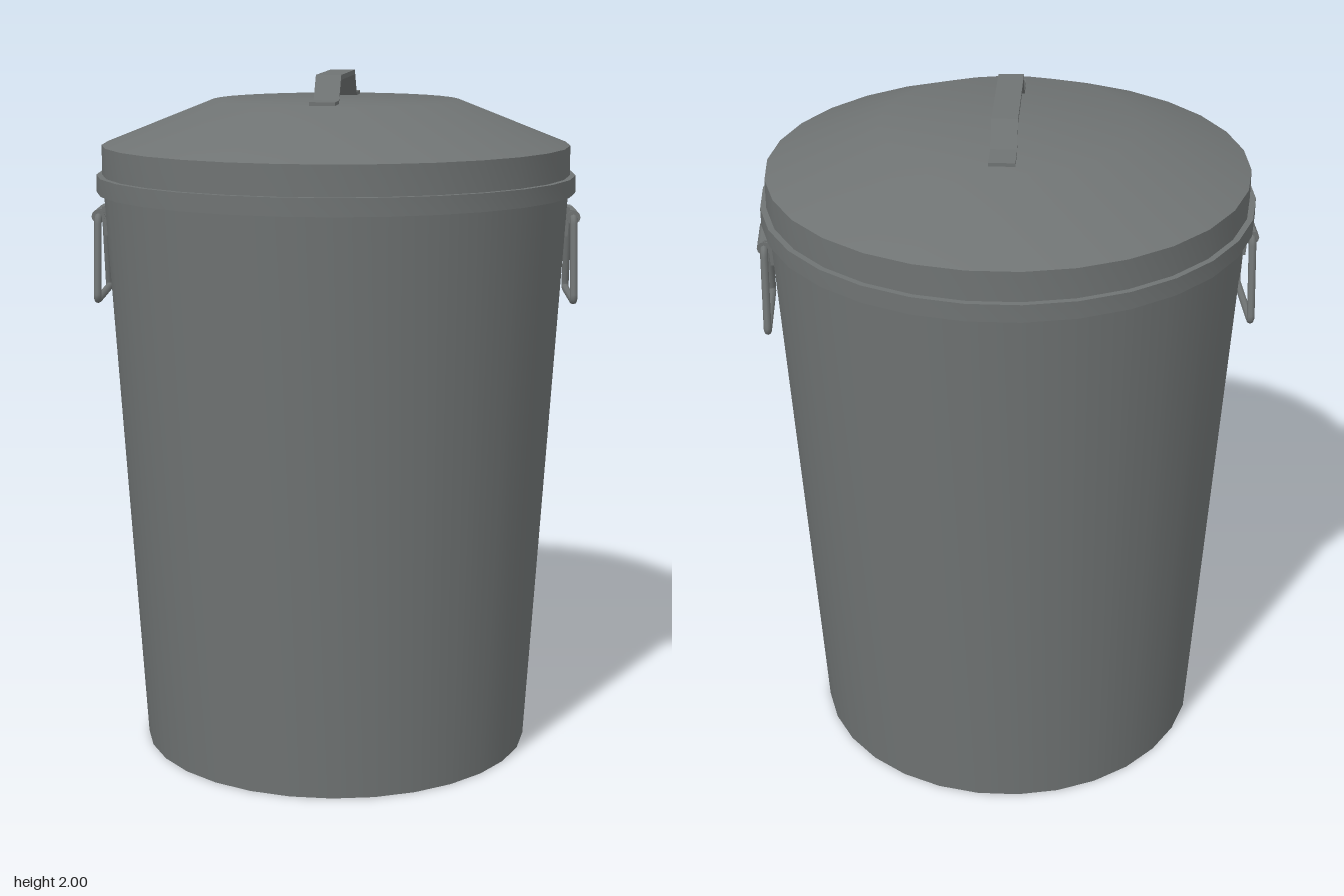
import * as THREE from 'three';
import { toCreasedNormals } from 'three/addons/utils/BufferGeometryUtils.js';

const SIDES = 30;
const FACET = (Math.PI * 2) / SIDES;

export function createModel() {
  const model = new THREE.Group();
  model.name = 'dustbin';
  const metal = new THREE.MeshStandardMaterial({ color: 0x6f7373 });
  metal.name = 'dull grey metal';

  const add = (parent, name, geometry) => {
    const mesh = new THREE.Mesh(geometry, metal);
    mesh.name = name;
    parent.add(mesh);
    return mesh;
  };

  // Turned part from [radius, height] pairs, smooth around and sharp at rims
  const turned = (profile) => {
    const points = profile.map(([r, y]) => new THREE.Vector2(r, y));
    const lathe = new THREE.LatheGeometry(points, SIDES, FACET / 2);
    return toCreasedNormals(lathe, 0.5);
  };

  add(model, 'body', turned([[0, 0], [0.577, 0], [0.677, 1.67]]));
  add(model, 'rim', turned([[0.66, 1.66], [0.697, 1.66], [0.697, 1.71], [0.66, 1.71]]));
  add(model, 'lid', turned([[0.68, 1.7], [0.68, 1.795], [0.36, 1.922], [0, 1.922]]));

  // Bent strap on the lid
  const strap = new THREE.Shape();
  const outer = [[0.31, 1.932], [0.217, 1.932], [0.168, 2]];
  const inner = [[0.31, 1.92], [0.224, 1.92], [0.162, 1.986]];
  const flip = ([z, y]) => [-z, y];
  const outline = [
    ...inner.map(flip), ...[...inner].reverse(),
    ...outer, ...[...outer].reverse().map(flip),
  ];
  strap.setFromPoints(outline.map(([z, y]) => new THREE.Vector2(z, y)));
  const strapGeometry = new THREE.ExtrudeGeometry(strap, { depth: 0.072, bevelEnabled: false });
  strapGeometry.translate(0, 0, -0.036).rotateY(Math.PI / 2);
  add(model, 'lidHandle', strapGeometry);

  // Wire loop with rounded corners
  const corners = [[-0.233, 0.137], [-0.233, -0.137], [0.003, -0.083], [0.003, 0.083]]
    .map(([y, z]) => new THREE.Vector3(0, y, z));
  const loop = new THREE.CurvePath();
  const toward = (a, b) => a.clone().add(b.clone().sub(a).setLength(0.018));
  corners.forEach((corner, i) => {
    const before = corners[(i + 3) % 4];
    const next = corners[(i + 1) % 4];
    loop.add(new THREE.QuadraticBezierCurve3(toward(corner, before), corner, toward(corner, next)));
    loop.add(new THREE.LineCurve3(toward(corner, next), toward(next, corner)));
  });
  const wire = new THREE.TubeGeometry(loop, 96, 0.011, 8, true);
  const sleeve = toCreasedNormals(new THREE.CylinderGeometry(0.02, 0.02, 0.15, 12), 0.8);
  sleeve.rotateX(Math.PI / 2);

  // A hanging handle on each side, set on the middle of a wall facet
  [['leftHandle', 0], ['rightHandle', Math.PI]].forEach(([name, turn]) => {
    const side = new THREE.Group();
    side.name = name;
    side.rotation.y = turn + FACET / 2;
    model.add(side);
    add(side, 'handleLoop', wire).position.set(0.69, 1.585, 0);
    add(side, 'hingeSleeve', sleeve).position.set(0.69, 1.588, 0);
    const plate = add(side, 'hingePlate', new THREE.BoxGeometry(0.012, 0.085, 0.14));
    plate.position.set(0.671, 1.575, 0);
    plate.rotation.z = -0.06;
    const tab = add(side, 'hingeTab', new THREE.BoxGeometry(0.024, 0.012, 0.14));
    tab.position.set(0.681, 1.604, 0);
  });

  return model;
}
